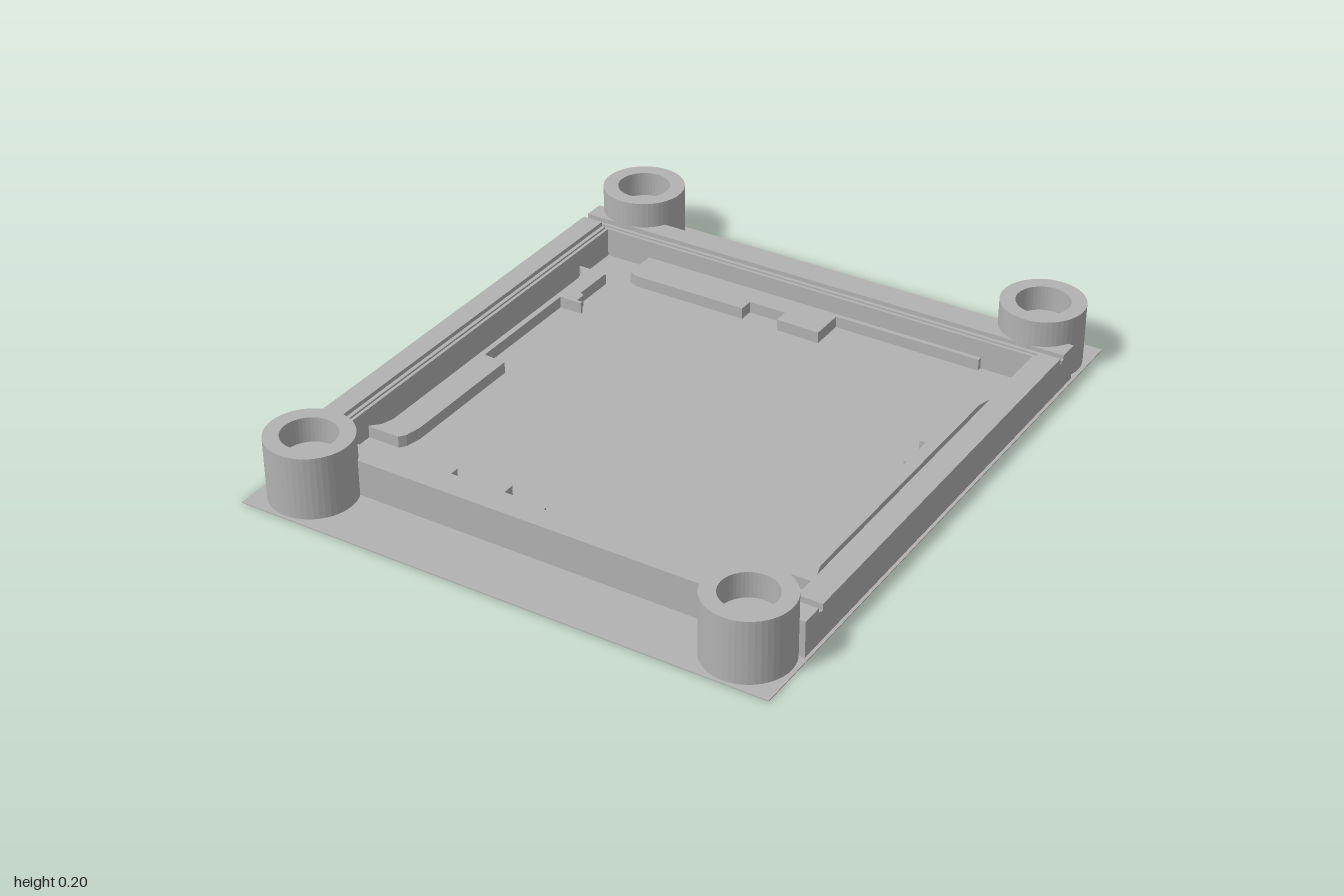
import * as THREE from 'three';

export function createModel() {
  const model = new THREE.Group();
  model.name = 'walledFort';
  const stone = new THREE.MeshStandardMaterial({ color: 0xb2b2b2, flatShading: true });
  stone.name = 'grey stone';

  const add = (geometry, name) => {
    const mesh = new THREE.Mesh(geometry, stone);
    mesh.name = name;
    model.add(mesh);
    return mesh;
  };
  const toShape = (pts) => new THREE.Shape(pts.map(([a, b]) => new THREE.Vector2(a, b)));

  // Thin ground sheet
  const ground = new THREE.BoxGeometry(1.69, 0.003, 2);
  ground.translate(0, 0.0015, 0);
  add(ground, 'ground');

  // Walls: stepped section (distance outwards, height) swept along each side
  function wall(name, inner, outer, length, angle) {
    const mid = inner + 0.01, lip = inner + 0.022;
    const section = toShape([
      [inner, 0], [outer, 0], [outer, 0.117], [lip, 0.117],
      [lip, 0.103], [mid, 0.103], [mid, 0.097], [inner, 0.097],
    ]);
    const g = new THREE.ExtrudeGeometry(section, { depth: length, bevelEnabled: false });
    g.translate(0, 0, -length / 2);
    g.rotateY(angle);
    add(g, name);
  }
  wall('leftWall', 0.745, 0.835, 1.42, 0);
  wall('rightWall', 0.745, 0.835, 1.42, Math.PI);
  wall('frontWall', 0.71, 0.8, 1.67, -Math.PI / 2);
  wall('backWall', 0.71, 0.8, 1.67, Math.PI / 2);

  // Round corner towers with a sunken top
  const towerProfile = [[0.13, 0], [0.13, 0.2], [0.083, 0.2], [0.083, 0.12], [0, 0.12]]
    .map(([r, y]) => new THREE.Vector2(r, y));
  const towerGeometry = new THREE.LatheGeometry(towerProfile, 48);
  for (const x of [-1, 1]) {
    for (const z of [-1, 1]) {
      const name = (z > 0 ? 'front' : 'back') + (x > 0 ? 'Left' : 'Right') + 'Tower';
      add(towerGeometry, name).position.set(x * 0.702, 0, z * 0.86);
    }
  }

  // Low building rows inside the walls, as plans in (x, z)
  function row(name, plan) {
    const g = new THREE.ExtrudeGeometry(toShape(plan), { depth: 0.04, bevelEnabled: false });
    g.rotateX(Math.PI / 2);
    g.translate(0, 0.04, 0);
    add(g, name);
  }
  row('rightRow', [
    [-0.75, -0.55], [-0.65, -0.55], [-0.65, -0.41], [-0.635, -0.4], [-0.635, -0.365],
    [-0.615, -0.365], [-0.615, -0.355], [-0.69, -0.355], [-0.69, 0.05], [-0.615, 0.055],
    [-0.615, 0.48], [-0.625, 0.53], [-0.64, 0.55], [-0.75, 0.55], [-0.72, 0.52],
    [-0.705, 0.47], [-0.705, -0.47], [-0.72, -0.52],
  ]);
  row('leftRow', [
    [0.74, -0.55], [0.635, -0.55], [0.635, -0.21], [0.655, -0.21], [0.655, -0.11],
    [0.645, -0.11], [0.645, -0.095], [0.655, -0.095], [0.655, 0.455], [0.605, 0.455],
    [0.605, 0.48], [0.63, 0.545], [0.74, 0.545], [0.71, 0.52], [0.695, 0.47],
    [0.695, -0.47], [0.71, -0.52],
  ]);
  row('backRow', [
    [-0.59, -0.712], [-0.59, -0.6], [-0.56, -0.588], [-0.175, -0.588], [-0.175, -0.635],
    [-0.05, -0.635], [-0.05, -0.585], [0.095, -0.583], [0.095, -0.695], [0.58, -0.695],
    [0.58, -0.712],
  ]);
  row('frontRow', [
    [-0.59, 0.712], [-0.59, 0.59], [-0.57, 0.585], [-0.42, 0.585], [-0.4, 0.595],
    [-0.4, 0.625], [-0.24, 0.625], [-0.24, 0.585], [-0.22, 0.585], [-0.22, 0.623],
    [-0.08, 0.625], [-0.08, 0.636], [0.34, 0.636], [0.34, 0.58], [0.355, 0.595],
    [0.42, 0.595], [0.45, 0.585], [0.55, 0.585], [0.58, 0.6], [0.58, 0.712],
  ]);

  return model;
}
